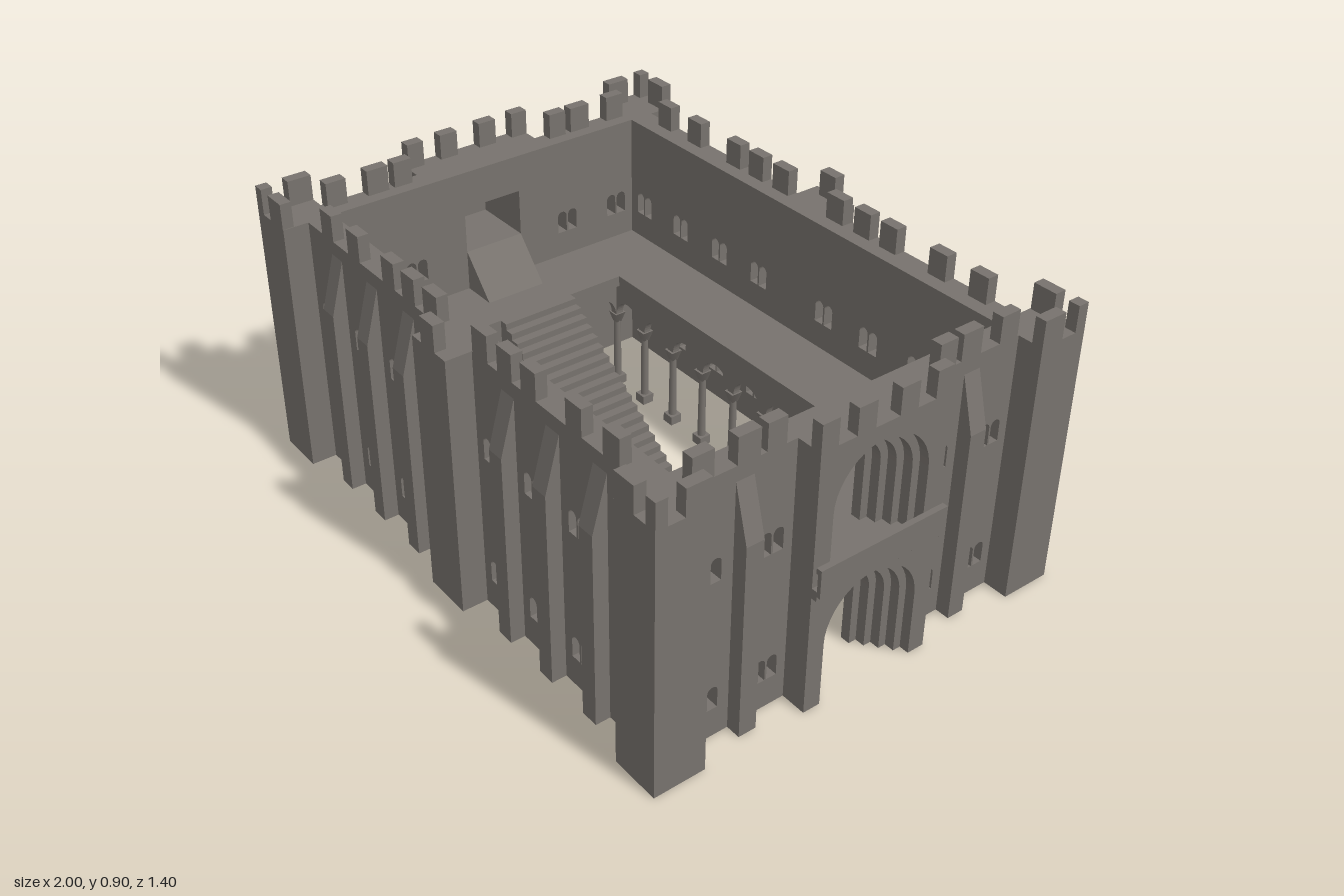
import * as THREE from 'three';

const stone = new THREE.MeshStandardMaterial({ color: 0x77726d });
stone.name = 'stone';

const CX = 0.025;        // centre of the walls in x
const WALK = 0.82;       // wall walk height
const FLOOR = 0.42;      // gallery floor height
const SIDES = [-1, 1];

export function createModel() {
  const castle = new THREE.Group();
  castle.name = 'castle';

  function add(name, geometry) {
    const mesh = new THREE.Mesh(geometry, stone);
    mesh.name = name;
    castle.add(mesh);
    return mesh;
  }
  function box(name, x0, x1, y0, y1, z0, z1) {
    const g = new THREE.BoxGeometry(x1 - x0, y1 - y0, z1 - z0);
    return add(name, g.translate((x0 + x1) / 2, (y0 + y1) / 2, (z0 + z1) / 2));
  }
  const poly = (pts) => new THREE.Shape(pts.map(([u, v]) => new THREE.Vector2(u, v)));
  const rect = (u0, u1, v0, v1) => poly([[u0, v0], [u1, v0], [u1, v1], [u0, v1]]);
  // Round-headed opening
  function arch(u, y0, top, r) {
    const p = new THREE.Path();
    p.moveTo(u - r, y0);
    p.lineTo(u + r, y0);
    p.lineTo(u + r, top - r);
    p.absarc(u, top - r, r, 0, Math.PI, false);
    p.closePath();
    return p;
  }
  const twinWindow = (u, y) => SIDES.map((s) => arch(u + s * 0.0195, y, y + 0.073, 0.0165));
  const extrude = (shape, depth) =>
    new THREE.ExtrudeGeometry(shape, { depth, bevelEnabled: false, curveSegments: 10 });
  // Plates drawn in (x, y) or in (z, y)
  const plateZ = (name, shape, z0, z1) => add(name, extrude(shape, z1 - z0).translate(0, 0, z0));
  const plateX = (name, shape, x0, x1) =>
    add(name, extrude(shape, x1 - x0).rotateY(-Math.PI / 2).translate(x1, 0, 0));

  // Long walls with two rows of twin windows
  for (const s of SIDES) {
    const wall = rect(CX - 0.79, CX + 0.79, 0, WALK);
    for (const d of [0.147, 0.335, 0.53, 0.72])
      for (const m of SIDES)
        for (const y of [0.092, 0.503]) wall.holes.push(...twinWindow(CX + m * d, y));
    plateZ('longWall', wall, s > 0 ? 0.54 : -0.62, s > 0 ? 0.62 : -0.54);
    box('middleTower', CX - 0.08, CX + 0.08, 0, WALK, s > 0 ? 0.62 : -0.70, s > 0 ? 0.70 : -0.62);
  }

  // Corner towers
  for (const sx of SIDES)
    for (const sz of SIDES) {
      const g = new THREE.BoxGeometry(0.155, WALK, 0.16);
      add('cornerTower', g.translate(CX + sx * 0.8675, WALK / 2, sz * 0.62));
    }

  // Rear end wall with an alcove reached from the gallery
  const alcove = () => rect(-0.10, 0.10, 0.55, 0.70);
  const endWall = rect(-0.54, 0.54, 0, WALK);
  endWall.holes.push(alcove());
  for (const m of SIDES) {
    endWall.holes.push(...twinWindow(m * 0.28, 0.503), ...twinWindow(m * 0.475, 0.503));
    endWall.holes.push(...twinWindow(m * 0.28, 0.092));
  }
  plateX('endWall', endWall, -0.84, -0.765);
  const endTower = rect(-0.215, 0.215, 0, WALK);
  endTower.holes.push(alcove());
  plateX('endTower', endTower, -0.92, -0.84);

  // Projecting bay with three lights and a sloped underside
  const bay = rect(-0.12, 0.12, 0.49, 0.77);
  bay.holes.push(alcove());
  plateX('bayFrame', bay, -0.97, -0.92);
  const bayFront = rect(-0.12, 0.12, 0.49, 0.77);
  for (const z of [-0.052, 0, 0.052]) bayFront.holes.push(arch(z, 0.58, 0.695, 0.021));
  plateX('bayFront', bayFront, -1.0, -0.97);
  plateZ('baySlope', poly([[-1, 0.49], [-0.92, 0.41], [-0.92, 0.49]]), -0.12, 0.12);
  plateZ('alcoveRamp', poly([[-0.765, FLOOR], [-0.65, FLOOR], [-0.765, 0.55]]), -0.10, 0.10);

  // Entrance end: side walls
  for (const s of SIDES) {
    const wall = rect(s > 0 ? 0.215 : -0.54, s > 0 ? 0.54 : -0.215, 0, WALK);
    for (const z of [0.28, 0.475])
      for (const y of [0.092, 0.503]) wall.holes.push(...twinWindow(s * z, y));
    plateX('entranceWall', wall, 0.815, 0.89);
  }
  // Stepped portal: each layer inward has narrower arches
  for (let i = 0; i < 5; i++) {
    const r = 0.16 - i * 0.025;
    const layer = new THREE.Shape();
    layer.moveTo(-0.215, 0);
    layer.lineTo(-r, 0);
    layer.lineTo(-r, 0.205);
    layer.absarc(0, 0.205, r, Math.PI, 0, true);
    layer.lineTo(r, 0);
    layer.lineTo(0.215, 0);
    layer.lineTo(0.215, WALK);
    layer.lineTo(-0.215, WALK);
    layer.closePath();
    layer.holes.push(arch(0, FLOOR, 0.615 + r, r));
    plateX('portalLayer', layer, 0.97 - (i + 1) * 0.031, 0.97 - i * 0.031);
  }

  // Balcony with parapet and scalloped corbels
  box('balconySlab', 0.97, 1.0, 0.40, 0.415, -0.215, 0.215);
  box('balconyParapet', 0.988, 1.0, 0.415, 0.47, -0.215, 0.215);
  box('balconyRail', 0.982, 1.0, 0.47, 0.487, -0.215, 0.215);
  const scallops = new THREE.Shape();
  scallops.moveTo(-0.215, 0.402);
  for (let i = 0; i < 9; i++) {
    const z = -0.215 + (i + 0.5) * 0.43 / 9;
    scallops.lineTo(z - 0.0239, 0.384);
    scallops.lineTo(z - 0.016, 0.384);
    scallops.absarc(z, 0.384, 0.016, Math.PI, 0, true);
    scallops.lineTo(z + 0.0239, 0.384);
  }
  scallops.lineTo(0.215, 0.402);
  plateX('balconyCorbels', scallops, 0.97, 0.988);

  // Buttresses with sloped heads
  function buttress(x, z, turn) {
    const g = extrude(poly([[0, 0], [0.046, 0], [0.046, 0.61], [0, 0.775]]), 0.056);
    add('buttress', g.translate(0, 0, -0.028).rotateY(turn).translate(x, 0, z));
  }
  for (const s of SIDES)
    for (const m of SIDES) {
      for (const d of [0.24, 0.435, 0.63]) buttress(CX + m * d, s * 0.62, -s * Math.PI / 2);
      buttress(CX + s * 0.865, m * 0.375, s > 0 ? 0 : Math.PI);
    }

  // Battlements: [centre, width, outer face] along each side
  const T = 0.035;
  function merlon(x, z, w, d) {
    add('merlon', new THREE.BoxGeometry(w, 0.08, d).translate(x, WALK + 0.04, z));
  }
  const longRow = [[0.675, 0.065, 0.62], [0.525, 0.065, 0.62], [0.335, 0.065, 0.62],
    [0.23, 0.065, 0.62], [0.118, 0.07, 0.62], [0.9275, T, 0.70], [0.83, 0.075, 0.70]];
  const endRow = [[0.5775, 0.075, 0.945], [0.502, 0.065, 0.865], [0.365, 0.07, 0.865],
    [0.28, 0.06, 0.865], [0.1875, 0.055, 0.945], [0.07, 0.06, 0.945]];
  for (const s of SIDES) {
    merlon(CX - 0.002, s * (0.70 - T / 2), 0.065, T);
    for (const m of SIDES) {
      for (const [c, w, f] of longRow) merlon(CX + m * c, s * (f - T / 2), w, T);
      for (const [c, w, f] of endRow) merlon(CX + s * (f - T / 2), m * c, T, w);
    }
  }

  // Gallery floor around the open court
  const gallery = rect(-0.765, 0.815, -0.54, 0.54);
  gallery.holes.push(rect(-0.54, 0.585, -0.32, 0.32));
  add('galleryFloor', extrude(gallery, 0.035).rotateX(Math.PI / 2).translate(0, FLOOR, 0));

  // Arcade under the gallery edge
  const X0 = -0.5725, X1 = 0.6075, ZA = 0.335;
  const lerp = (a, b, i, n) => a + (b - a) * i / n;
  function arcade(u0, u1, n) {
    const r = (u1 - u0) / n / 2 - 0.014;
    const s = new THREE.Shape();
    s.moveTo(u0, 0.385);
    s.lineTo(u0, 0.27);
    for (let i = 0; i < n; i++) {
      const c = lerp(u0, u1, i + 0.5, n);
      s.lineTo(c - r, 0.27);
      s.absarc(c, 0.27, r, Math.PI, 0, true);
    }
    s.lineTo(u1, 0.27);
    s.lineTo(u1, 0.385);
    return s;
  }
  function column(x, z) {
    const shaft = new THREE.CylinderGeometry(0.011, 0.013, 0.22, 12);
    add('columnShaft', shaft.translate(x, 0.135, z));
    box('columnBase', x - 0.02, x + 0.02, 0, 0.03, z - 0.02, z + 0.02);
    const cap = new THREE.CylinderGeometry(0.027, 0.014, 0.035, 4, 1).rotateY(Math.PI / 4);
    add('columnCapital', cap.translate(x, 0.2525, z));
  }
  for (const s of SIDES) {
    plateZ('longArcade', arcade(X0, X1, 8), s * ZA - 0.012, s * ZA + 0.012);
    for (let i = 0; i <= 8; i++) column(lerp(X0, X1, i, 8), s * ZA);
  }
  for (const x of [X0, X1]) {
    plateX('endArcade', arcade(-ZA, ZA, 4), x - 0.012, x + 0.012);
    for (let i = 1; i < 4; i++) column(x, lerp(-ZA, ZA, i, 4));
  }

  // Solid staircase from the court up to the gallery
  const steps = 20;
  const profile = [[-0.54, 0], [0.04, 0]];
  for (let i = 0; i < steps; i++) {
    const y = FLOOR * (i + 1) / steps;
    profile.push([lerp(0.04, -0.54, i, steps), y], [lerp(0.04, -0.54, i + 1, steps), y]);
  }
  plateZ('staircase', poly(profile), -0.13, 0.13);

  return castle;
}
